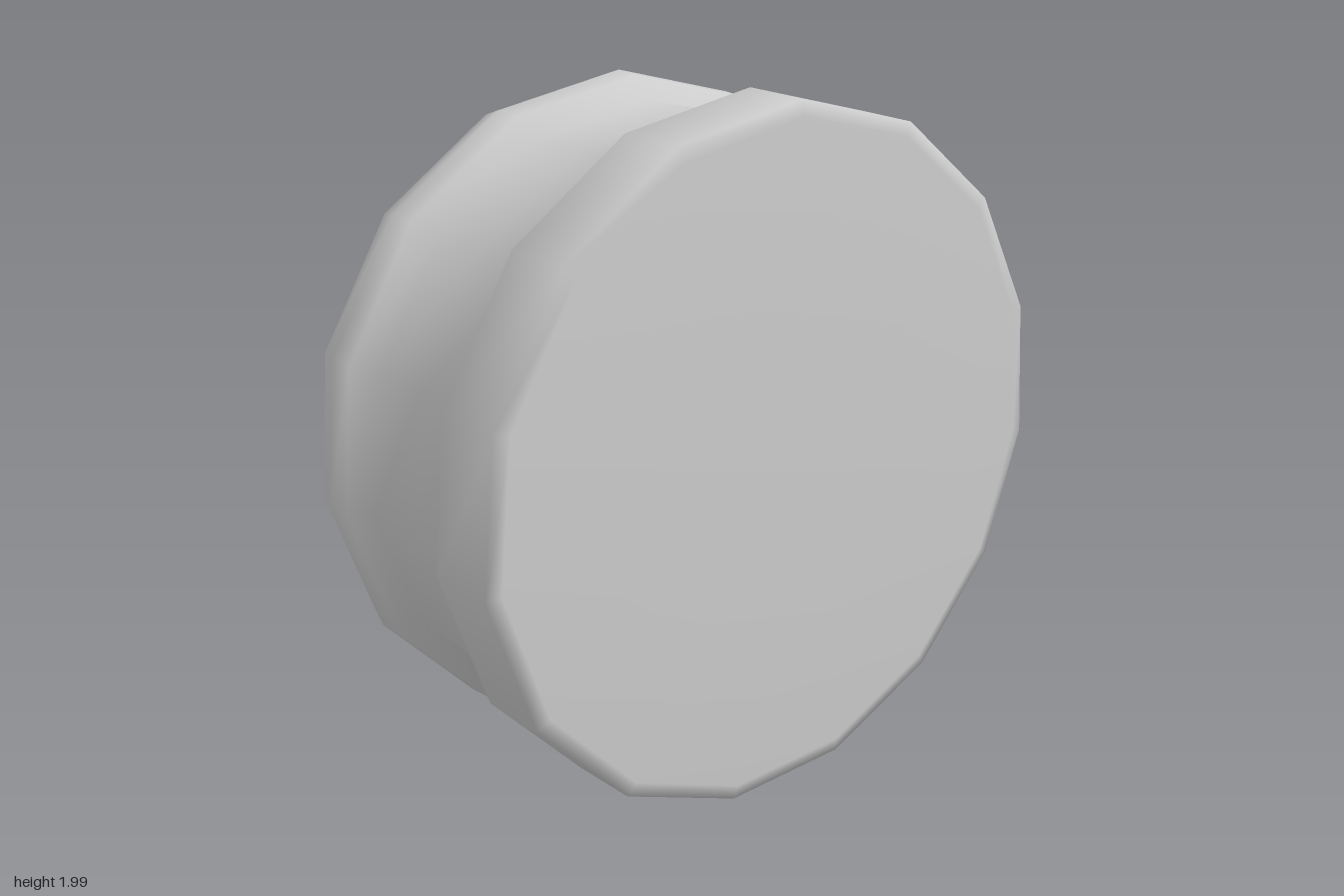
import * as THREE from 'three';

const SIDES = 15;
const AXIS_Y = 0.983; // height of the axis, so a flat edge rests on the ground

// Profile of the wheel as [x along the axis, radius], from inner floor to outer face
const PROFILE = [
  [-0.19, 0], [-0.19, 0.7], [-0.2, 0.81],               // recessed floor
  [-0.43, 0.815], [-0.455, 0.84], [-0.46, 0.905],       // inner wall and lip
  [-0.43, 0.983], [-0.345, 1.005], [-0.26, 0.995],      // rounded flange
  [-0.22, 0.927], [0, 0.927], [0.23, 0.927],            // groove
  [0.23, 0.997], [0.43, 0.983],                         // step and cap side
  [0.437, 0.94], [0.455, 0.5], [0.455, 0],              // gently domed closed face
];

export function createModel() {
  const group = new THREE.Group();
  group.name = 'groovedWheel';

  // Turned about the vertical with a corner to one side, then laid along x
  const points = PROFILE.map(([x, r]) => new THREE.Vector2(r, x));
  const geometry = new THREE.LatheGeometry(points, SIDES, -Math.PI / 2, Math.PI * 2);
  geometry.rotateZ(-Math.PI / 2);

  const wheel = new THREE.Mesh(
    geometry,
    new THREE.MeshStandardMaterial({ color: 0xcccccc, side: THREE.DoubleSide }),
  );
  wheel.name = 'wheelBody';
  wheel.position.y = AXIS_Y;
  group.add(wheel);

  return group;
}
